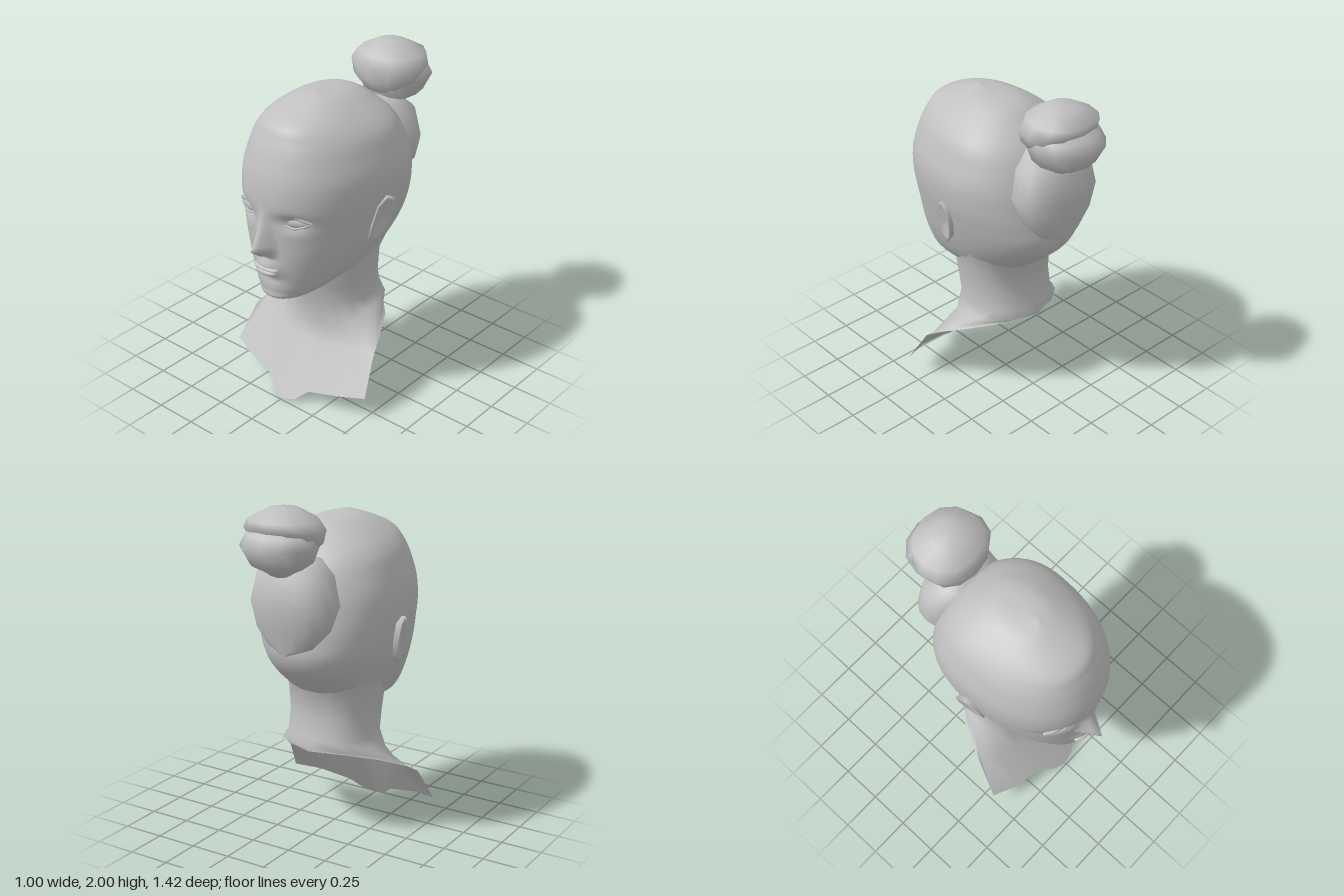
import * as THREE from 'three';

const clay = new THREE.MeshStandardMaterial({ color: 0xc0c0c0, side: THREE.DoubleSide });
clay.name = 'grey clay';

const V = (x, y, z) => new THREE.Vector3(x, y, z);

function part(name, geometry) {
  const mesh = new THREE.Mesh(geometry, clay);
  mesh.name = name;
  return mesh;
}

// Smooth skin over closed rings, listed from the top down
function loft(rings) {
  const n = rings[0].length, pos = [], index = [];
  for (const ring of rings) for (const p of ring) pos.push(p.x, p.y, p.z);
  for (let i = 0; i < rings.length - 1; i++) {
    for (let j = 0; j < n; j++) {
      const k = (j + 1) % n;
      const a = i * n + j, b = a + n, c = (i + 1) * n + k, d = i * n + k;
      index.push(a, b, c, a, c, d);
    }
  }
  const g = new THREE.BufferGeometry();
  g.setAttribute('position', new THREE.Float32BufferAttribute(pos, 3));
  g.setIndex(index);
  g.computeVertexNormals();
  return g;
}

// Rounded horizontal ring; "dense" crowds the points towards the front
function ovalRing(y, w, zF, zB, zM, n, { power = 2.2, dense = 0, cx = 0 } = {}) {
  const bend = (v) => Math.sign(v) * Math.pow(Math.abs(v), 2 / power);
  return Array.from({ length: n }, (_, j) => {
    const t = (j / n) * Math.PI * 2;
    const a = t - dense * Math.sin(t);
    const s = bend(Math.sin(a)), c = bend(Math.cos(a));
    return V(cx + w * s, y, zM + c * (c > 0 ? zF - zM : zM - zB));
  });
}

// Full ring from its left half, listed front to back
function mirroredRing(half) {
  const left = half.map((p) => V(...p));
  const right = left.slice(1, -1).reverse().map((p) => V(-p.x, p.y, p.z));
  return [...left, ...right];
}

// Nose, eye sockets, mouth and chin pushed out of the face
function shapeFace(p) {
  if (p.z < 0.3) return p;
  const ax = Math.abs(p.x);
  const bump = (x, y, rx, ry) => Math.exp(-(((ax - x) / rx) ** 2) - ((p.y - y) / ry) ** 2);
  let dz = -0.035 * bump(0.165, 1.265, 0.075, 0.045);
  dz += 0.035 * bump(0, 0.965, 0.085, 0.055) - 0.012 * bump(0, 0.885, 0.08, 0.025);
  if (p.y > 1.045 && p.y < 1.34) {
    const down = Math.min(1, (1.34 - p.y) / 0.24);
    const height = p.y > 1.1 ? 0.122 * down ** 1.25 : 0.122 * (0.4 + 0.6 * (p.y - 1.045) / 0.055);
    dz += height * Math.max(0, 1 - ax / (0.035 + 0.045 * down));
  }
  p.z += dz;
  return p;
}

function head() {
  // y, half width, front z, back z, z of the widest point, sideways shift
  const rows = [
    [1.89, 0.002, 0.182, 0.178, 0.18, 0.03], [1.862, 0.13, 0.28, -0.08, 0.1, 0.02],
    [1.785, 0.255, 0.465, -0.21, 0.06, 0.012], [1.7, 0.34, 0.525, -0.3, 0.03, 0.012],
    [1.6, 0.385, 0.567, -0.36, 0.02, 0.012], [1.48, 0.418, 0.6, -0.4, 0.01, 0.012],
    [1.35, 0.418, 0.61, -0.43, 0.01, 0.008], [1.25, 0.402, 0.6, -0.45, 0.02, 0.004],
    [1.15, 0.38, 0.592, -0.455, 0.04, 0], [1.05, 0.35, 0.588, -0.41, 0.07, 0],
    [0.95, 0.31, 0.582, -0.31, 0.1, 0], [0.87, 0.265, 0.577, -0.2, 0.15, 0],
    [0.8, 0.205, 0.572, 0, 0.25, 0], [0.745, 0.13, 0.55, 0.08, 0.34, 0],
    [0.705, 0.002, 0.342, 0.338, 0.34, 0],
  ];
  const curve = (a, b, c) => new THREE.CatmullRomCurve3(
    rows.map((r) => V(r[a], r[b], r[c])), false, 'catmullrom');
  const front = curve(0, 1, 2), back = curve(3, 4, 5);
  const rings = [], steps = (rows.length - 1) * 6;
  for (let i = 0; i <= steps; i++) {
    const f = front.getPoint(i / steps), b = back.getPoint(i / steps);
    const ring = ovalRing(f.x, Math.max(f.y, 0.002), f.z, b.x, b.y, 72, { dense: 0.5, cx: b.z });
    rings.push(ring.map(shapeFace));
  }
  return part('head', loft(rings));
}

// Neck blending up behind the jaw and flaring into an open shoulder and chest sheet
function neckAndShoulders() {
  const collar = [
    [0, 0.42, 0.22], [0.1, 0.43, 0.22], [0.2, 0.45, 0.2], [0.27, 0.49, 0.14], [0.29, 0.53, 0.05],
    [0.29, 0.545, -0.03], [0.28, 0.55, -0.1], [0.25, 0.55, -0.17], [0.15, 0.55, -0.24], [0, 0.55, -0.27],
  ];
  const shoulder = [
    [0, 0.33, 0.27], [0.1, 0.33, 0.265], [0.2, 0.34, 0.25], [0.33, 0.36, 0.22], [0.4, 0.37, 0.18],
    [0.41, 0.41, 0.12], [0.38, 0.45, 0.06], [0.32, 0.5, -0.06], [0.18, 0.537, -0.21], [0, 0.545, -0.275],
  ];
  const edge = [
    [0, 0, 0.49], [0.08, 0.02, 0.47], [0.15, 0.08, 0.42], [0.35, 0.12, 0.385], [0.5, 0.14, 0.325],
    [0.46, 0.35, 0.2], [0.43, 0.4, 0.12], [0.35, 0.48, -0.05], [0.2, 0.53, -0.2], [0, 0.54, -0.28],
  ];
  return part('neckAndShoulders', loft([
    ovalRing(1.1, 0.35, 0.25, -0.36, 0.02, 18),
    ovalRing(0.98, 0.318, 0.3, -0.29, 0.02, 18),
    ovalRing(0.87, 0.277, 0.32, -0.23, 0.01, 18),
    ovalRing(0.72, 0.266, 0.29, -0.22, 0, 18),
    ovalRing(0.6, 0.268, 0.245, -0.255, 0, 18),
    ...[collar, shoulder, edge].map(mirroredRing),
  ]));
}

// Ear with raised rim and hollow
function ear(side) {
  const outline = [
    [0, 1.31], [0.06, 1.34], [0.12, 1.29], [0.14, 1.17],
    [0.14, 1.06], [0.08, 1.04], [0.03, 1.1], [0, 1.2],
  ];
  if (side < 0) outline.reverse();
  const rim = (y, z) => 0.4 + (y - 1.05) * 0.18 - z * 0.22;
  const ring = (scale, xOf) => outline.map(([z, y]) => {
    const zz = 0.075 + (z - 0.075) * scale, yy = 1.19 + (y - 1.19) * scale;
    return V(side * xOf(yy, zz), yy, zz);
  });
  return part(side > 0 ? 'leftEar' : 'rightEar', loft([
    ring(0.02, (y, z) => rim(y, z) - 0.02),
    ring(0.6, (y, z) => rim(y, z) - 0.012),
    ring(0.85, rim),
    ring(1, (y, z) => rim(y, z) - 0.004),
    ring(0.85, () => 0.33),
  ]));
}

function ellipsoid(name, x, y, z, rx, ry, rz) {
  const mesh = part(name, new THREE.SphereGeometry(1, 16, 10));
  mesh.position.set(x, y, z);
  mesh.scale.set(rx, ry, rz);
  return mesh;
}

// Eyeball with upper and lower lids
function eye(side) {
  const group = new THREE.Group();
  group.name = side > 0 ? 'leftEye' : 'rightEye';
  const ball = ellipsoid('eyeball', side * 0.168, 1.27, 0.512, 0.085, 0.04, 0.035);
  ball.rotation.y = side * 0.3;
  group.add(ball);
  const lid = (name, midY, r) => {
    const path = new THREE.CatmullRomCurve3([
      V(side * 0.08, 1.265, 0.552), V(side * 0.125, (midY + 1.27) / 2 + (midY - 1.27) * 0.3, 0.555),
      V(side * 0.175, midY, 0.546), V(side * 0.225, (midY + 1.275) / 2, 0.522), V(side * 0.258, 1.275, 0.495),
    ]);
    group.add(part(name, new THREE.TubeGeometry(path, 12, r, 6)));
  };
  lid('upperLid', 1.312, 0.01);
  lid('lowerLid', 1.24, 0.006);
  return group;
}

// Hair volumes from rows of y, half width, front z, back z
function hairVolume(name, rows, n, cx) {
  return part(name, loft(rows.map(([y, w, zF, zB]) =>
    ovalRing(y, w, zF, zB, (zF + zB) / 2, n, { cx }))));
}

export function createModel() {
  const model = new THREE.Group();
  model.name = 'bust';
  model.add(head(), neckAndShoulders());
  for (const side of [1, -1]) model.add(ear(side), eye(side));
  model.add(
    ellipsoid('upperLip', 0, 0.96, 0.592, 0.09, 0.014, 0.036),
    ellipsoid('lowerLip', 0, 0.932, 0.59, 0.07, 0.02, 0.034),
  );

  // Gathered hair on the back of the skull
  model.add(hairVolume('gatheredHair', [
    [1.73, 0.002, -0.379, -0.381], [1.7, 0.13, -0.25, -0.46], [1.62, 0.23, -0.23, -0.545],
    [1.46, 0.268, -0.22, -0.57], [1.32, 0.23, -0.28, -0.545], [1.22, 0.14, -0.36, -0.52],
    [1.175, 0.002, -0.509, -0.511],
  ], 20, 0.008));

  // Bun: lower coil under an overhanging upper coil
  model.add(hairVolume('lowerBun', [
    [1.9, 0.15, -0.35, -0.6], [1.86, 0.2, -0.31, -0.66], [1.8, 0.215, -0.3, -0.71],
    [1.7, 0.17, -0.32, -0.66], [1.65, 0.09, -0.36, -0.57], [1.6, 0.08, -0.36, -0.5],
  ], 12, 0.03));
  model.add(hairVolume('upperBun', [
    [2.0, 0.002, -0.459, -0.461], [1.995, 0.09, -0.38, -0.55], [1.94, 0.195, -0.29, -0.655],
    [1.88, 0.235, -0.275, -0.63], [1.8, 0.2, -0.27, -0.58], [1.73, 0.11, -0.31, -0.5],
    [1.7, 0.002, -0.4, -0.402],
  ], 12, 0.03));
  return model;
}
